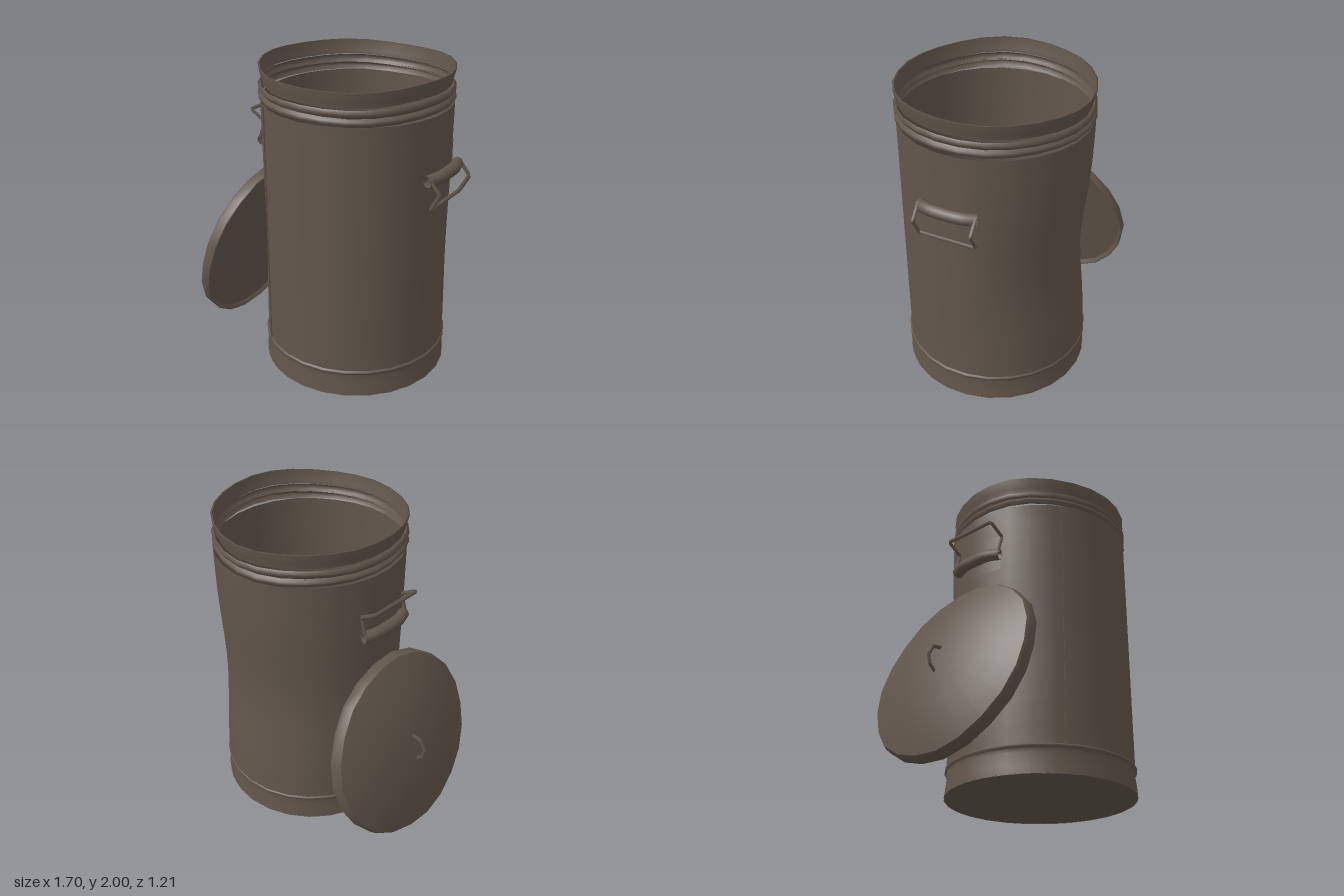
import * as THREE from 'three';
import { mergeVertices } from 'three/addons/utils/BufferGeometryUtils.js';

const metal = new THREE.MeshStandardMaterial({ color: 0x62564b, side: THREE.DoubleSide });
metal.name = 'dull brown metal';

const CX = 0.143; // axis of the can
const SIDES = 26;

function add(parent, name, geometry) {
  const mesh = new THREE.Mesh(geometry, metal);
  mesh.name = name;
  parent.add(mesh);
  return mesh;
}

// Thin round shell from [radius, height] points, optionally bent by a rule
function shell(points, bend, sides = SIDES) {
  let g = new THREE.LatheGeometry(points.map(([r, y]) => new THREE.Vector2(r, y)), sides);
  g.deleteAttribute('uv');
  g.deleteAttribute('normal');
  g = mergeVertices(g, 1e-4);
  if (bend) {
    const p = g.attributes.position;
    const v = new THREE.Vector3();
    for (let i = 0; i < p.count; i++) {
      v.fromBufferAttribute(p, i);
      bend(v, Math.atan2(v.z, v.x));
      p.setXYZ(i, v.x, v.y, v.z);
    }
  }
  g.computeVertexNormals();
  return g;
}

// Angular wire or bar following straight segments
function wire(points, radius, sides = 4) {
  const path = new THREE.CurvePath();
  const pts = points.map(p => new THREE.Vector3(...p));
  for (let i = 1; i < pts.length; i++) path.add(new THREE.LineCurve3(pts[i - 1], pts[i]));
  return new THREE.TubeGeometry(path, points.length * 8, radius, sides, false);
}

// Battered, wavy bands
const wave = (amount, phase) => (v, a) => {
  v.y += amount * (Math.cos(2 * a + phase) + 0.4 * Math.sin(5 * a + phase) - 1);
  const s = 1 + 0.006 * Math.sin(3 * a + phase * 2);
  v.x *= s;
  v.z *= s;
};

function buildCan() {
  const can = new THREE.Group();
  can.name = 'can';
  can.position.x = CX;

  // Wall, dented inwards at the back and a little on the right
  const wall = [];
  for (let i = 0; i <= 12; i++) wall.push([0.592, 0.165 + i * 0.135]);
  add(can, 'wall', shell(wall, v => {
    const dent = Math.exp(-(((v.y - 0.88) / 0.45) ** 2));
    if (v.z < 0) v.z *= 1.015 - 0.1 * dent;
    if (v.x < 0) v.x *= 1 - 0.03 * dent;
  }));

  // Foot band with a raised lip
  add(can, 'footBand', shell([[0.6, 0], [0.597, 0.05], [0.588, 0.13], [0.593, 0.155]]));
  add(can, 'footLip', shell([[0.59, 0.15], [0.602, 0.165], [0.601, 0.175], [0.588, 0.183]]));
  const floor = add(can, 'floor', new THREE.CircleGeometry(0.6, SIDES));
  floor.rotation.x = -Math.PI / 2;
  floor.position.y = 0.003;

  // Loose bands around the mouth
  add(can, 'neckLowerBand', shell([[0.585, 1.8], [0.601, 1.82], [0.598, 1.836], [0.582, 1.85]], wave(0.008, 0.4)));
  add(can, 'neckUpperBand', shell([[0.58, 1.845], [0.588, 1.86], [0.6, 1.878], [0.585, 1.896]], wave(0.008, 0)));
  add(can, 'rimBand', shell([[0.574, 1.905], [0.578, 1.93], [0.596, 1.998], [0.586, 2.0]], wave(0.01, 0)));

  // Vertical seam
  const seam = add(can, 'seam', new THREE.BoxGeometry(0.008, 1.6, 0.008));
  seam.position.set(-0.345, 0.98, 0.483);
  seam.rotation.y = -0.62;
  return can;
}

// Side handle: curved plate, bulging grip holder and a hinged bail
function buildSideHandle(name, side, bail) {
  const handle = new THREE.Group();
  handle.name = name;
  const half = 0.28;
  const plate = add(handle, 'backPlate', new THREE.CylinderGeometry(0.603, 0.603, 0.24, 6, 1, true,
    side * Math.PI / 2 - half, half * 2));
  plate.position.set(CX, 1.455, 0);

  const x = d => side * d + CX;
  const curve = new THREE.CatmullRomCurve3([
    new THREE.Vector3(x(0.605), 1.425, 0.185),
    new THREE.Vector3(x(0.635), 1.43, 0.1),
    new THREE.Vector3(x(0.64), 1.43, 0),
    new THREE.Vector3(x(0.635), 1.43, -0.1),
    new THREE.Vector3(x(0.605), 1.425, -0.185)
  ]);
  add(handle, 'hingeRoll', new THREE.TubeGeometry(curve, 12, 0.038, 8, false));

  const near = bail.map(([bx, by]) => [bx, by, 0.185]);
  const far = bail.map(([bx, by]) => [bx, by, -0.185]).reverse();
  add(handle, 'bail', wire([...near, ...far], 0.013));
  return handle;
}

function buildLid() {
  const lid = new THREE.Group();
  lid.name = 'lid';
  // Leans against the can
  lid.position.set(-0.615, 0.61, 0);
  lid.rotation.z = 1.306;
  const wobble = (v, a) => {
    const s = 1 + 0.006 * Math.sin(3 * a) + 0.005 * Math.sin(7 * a);
    v.x *= s;
    v.z *= s;
  };
  add(lid, 'lidSkirt', shell([[0.575, 0.025], [0.592, 0], [0.603, 0.005], [0.598, 0.06], [0.588, 0.075]], wobble, 22));
  add(lid, 'lidDome', shell([[0.588, 0.075], [0.46, 0.115], [0.31, 0.146], [0.15, 0.16], [0, 0.165]], wobble, 22));
  add(lid, 'lidInside', shell([[0, 0.03], [0.3, 0.03], [0.575, 0.025]], wobble, 22));
  add(lid, 'lidHandle', wire([
    [0.095, 0.145, -0.01], [0.064, 0.215, -0.01], [-0.004, 0.233, -0.01],
    [-0.057, 0.205, -0.01], [-0.089, 0.136, -0.01]
  ], 0.013));
  return lid;
}

export function createModel() {
  const model = new THREE.Group();
  model.name = 'trashCan';
  model.add(buildCan());
  model.add(buildSideHandle('leftHandle', 1, [[0.76, 1.45], [0.835, 1.36], [0.775, 1.25]]));
  model.add(buildSideHandle('rightHandle', -1, [[-0.48, 1.44], [-0.445, 1.56], [-0.55, 1.62]]));
  model.add(buildLid());
  return model;
}
